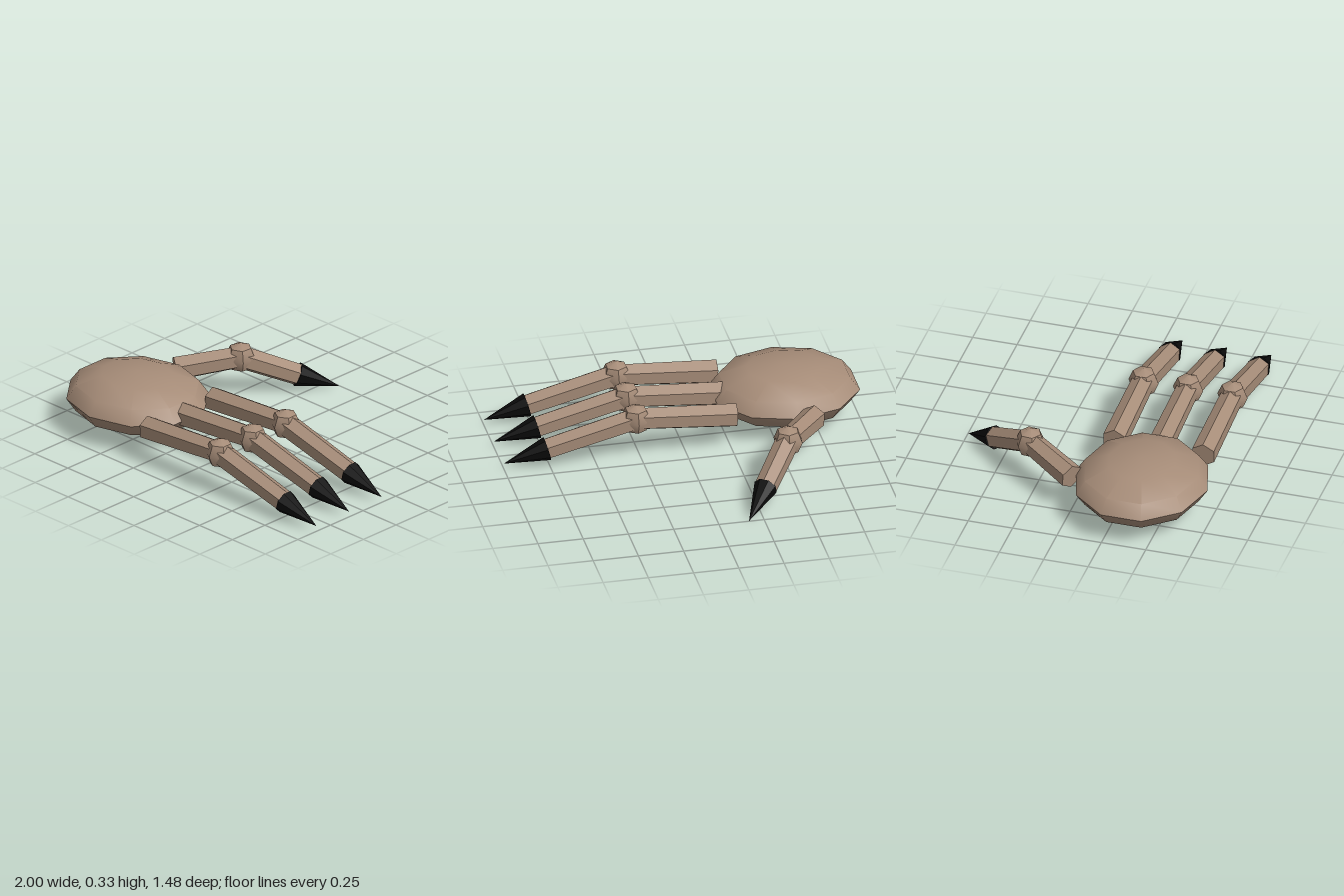
import * as THREE from 'three';
import { toCreasedNormals } from 'three/addons/utils/BufferGeometryUtils.js';

const skin = new THREE.MeshStandardMaterial({ color: 0xa68c78 });
skin.name = 'tan skin';
const black = new THREE.MeshStandardMaterial({ color: 0x0a0a0a });
black.name = 'black claw';

function part(name, geometry, material, crease = 0.7) {
  const mesh = new THREE.Mesh(toCreasedNormals(geometry, crease), material);
  mesh.name = name;
  return mesh;
}

// Tapered prism from a to b in the xy plane, with a ridge along its top
function bone(name, a, b, rStart, rEnd, sides, material) {
  const dx = b[0] - a[0], dy = b[1] - a[1];
  const g = new THREE.CylinderGeometry(rEnd, rStart, Math.hypot(dx, dy), sides);
  g.rotateY(Math.PI / sides);
  g.rotateZ(Math.atan2(dy, dx) - Math.PI / 2);
  g.translate((a[0] + b[0]) / 2, (a[1] + b[1]) / 2, 0);
  return part(name, g, material);
}

// A jointed finger along +x, with the knuckle at its origin
function finger(name, start, clawBase, tip) {
  const group = new THREE.Group();
  group.name = name;
  const knuckle = new THREE.SphereGeometry(0.085, 6, 4).rotateY(Math.PI / 2);
  group.add(
    bone('innerBone', start, [0, 0], 0.07, 0.064, 6, skin),
    part('knuckle', knuckle, skin),
    bone('outerBone', [0, 0], clawBase, 0.066, 0.062, 6, skin),
    bone('claw', clawBase, tip, 0.066, 0, 8, black)
  );
  return group;
}

export function createModel() {
  const model = new THREE.Group();
  model.name = 'clawedHand';

  // Flattened palm
  const palm = new THREE.SphereGeometry(1, 10, 6).rotateY(Math.PI / 2);
  palm.scale(0.415, 0.15, 0.37);
  palm.translate(-0.605, 0.18, 0.36);
  model.add(part('palm', palm, skin));

  // Three parallel fingers
  for (const z of [0.107, 0.358, 0.608]) {
    const f = finger('finger', [-0.55, -0.04], [0.49, -0.125], [0.73, -0.19]);
    f.position.set(0.27, 0.225, z);
    model.add(f);
  }

  // Thumb
  const thumb = finger('thumb', [-0.36, -0.04], [0.31, -0.13], [0.542, -0.222]);
  thumb.position.set(-0.48, 0.225, -0.305);
  thumb.rotation.y = 0.955;
  model.add(thumb);

  return model;
}
